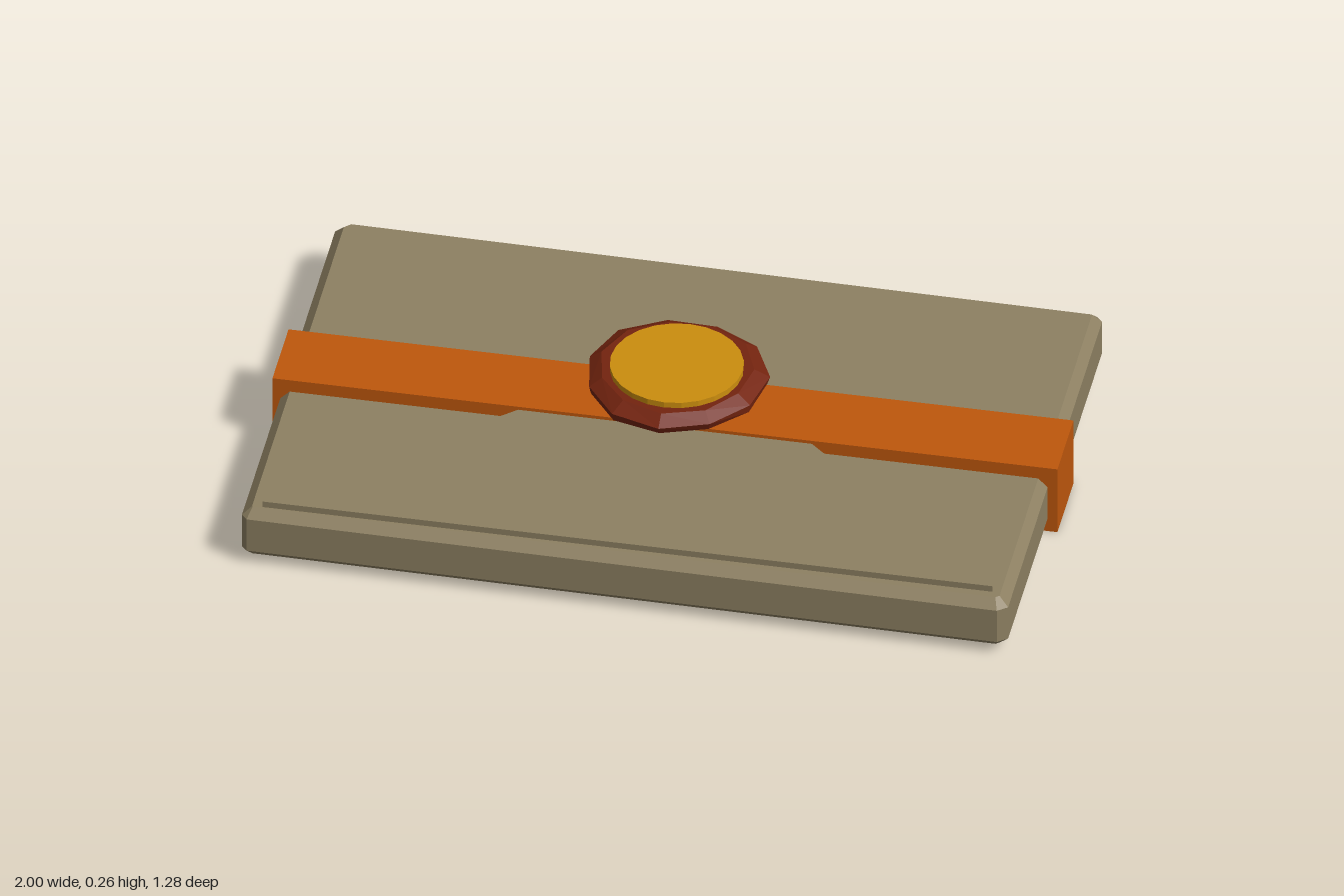
import * as THREE from 'three';

const material = (name, color) => Object.assign(new THREE.MeshStandardMaterial({ color, flatShading: true }), { name });

// Slab lying flat: outline given in x/z, chamfered on its rims, resting on y = 0
function slab(points, height, bevel) {
  const shape = new THREE.Shape(points.map(([x, z]) => new THREE.Vector2(x, -z)));
  const geo = new THREE.ExtrudeGeometry(shape, {
    depth: height - 2 * bevel, bevelEnabled: bevel > 0, bevelThickness: bevel,
    bevelSize: bevel, bevelOffset: -bevel, bevelSegments: 1,
  });
  return geo.rotateX(-Math.PI / 2).translate(0, bevel, 0);
}

export function createModel() {
  const group = new THREE.Group();
  const paper = material('paper', 0x8d8062);
  const ribbonOrange = material('ribbon orange', 0xbe570c);
  const waxRed = material('wax red', 0x74240f);
  const gold = material('gold', 0xcb8d0e);

  const add = (name, geo, mat, x = 0, y = 0, z = 0) => {
    const mesh = new THREE.Mesh(geo, mat);
    mesh.name = name;
    mesh.position.set(x, y, z);
    group.add(mesh);
    return mesh;
  };

  // Envelope body: slightly skewed rectangle with clipped corners
  const body = [
    [-0.98, -0.61], [-0.95, -0.64], [0.96, -0.622], [0.975, -0.605],
    [0.975, 0.62], [0.95, 0.64], [-0.965, 0.622], [-0.98, 0.605],
  ];
  add('envelopeBody', slab(body, 0.145, 0.024), paper, 0, 0.015, 0);

  // Folded flap: thin triangle rising gently towards the seal
  const flap = slab([[-0.93, 0.595], [0.93, 0.595], [0, -0.225]], 0.017, 0);
  const pos = flap.attributes.position;
  for (let i = 0; i < pos.count; i++) {
    pos.setY(i, pos.getY(i) + 0.015 * (0.595 - pos.getZ(i)) / 0.82);
  }
  flap.computeVertexNormals();
  add('envelopeFlap', flap, paper, 0, 0.16, 0);

  // Ribbon wrapped around the middle
  add('ribbon', new THREE.BoxGeometry(2, 0.195, 0.21), ribbonOrange, 0, 0.0975, 0);

  // Wax seal: faceted disc with a gently uneven rim
  const profile = [[0, 0.186], [0.17, 0.186], [0.222, 0.2], [0.23, 0.222], [0.195, 0.244], [0, 0.244]]
    .map(([r, y]) => new THREE.Vector2(r, y));
  const wax = new THREE.LatheGeometry(profile, 11);
  const wp = wax.attributes.position;
  for (let i = 0; i < wp.count; i++) {
    const a = Math.atan2(wp.getZ(i), wp.getX(i));
    const s = 1 + 0.025 * Math.sin(3 * a + 40 * wp.getY(i));
    wp.setX(i, wp.getX(i) * s);
    wp.setZ(i, wp.getZ(i) * s);
  }
  wax.computeVertexNormals();
  add('waxSeal', wax, waxRed, -0.005, 0, -0.07);

  // Gold disc on the seal
  add('sealDisc', new THREE.CylinderGeometry(0.168, 0.168, 0.03, 24), gold, -0.003, 0.245, -0.065);

  return group;
}
